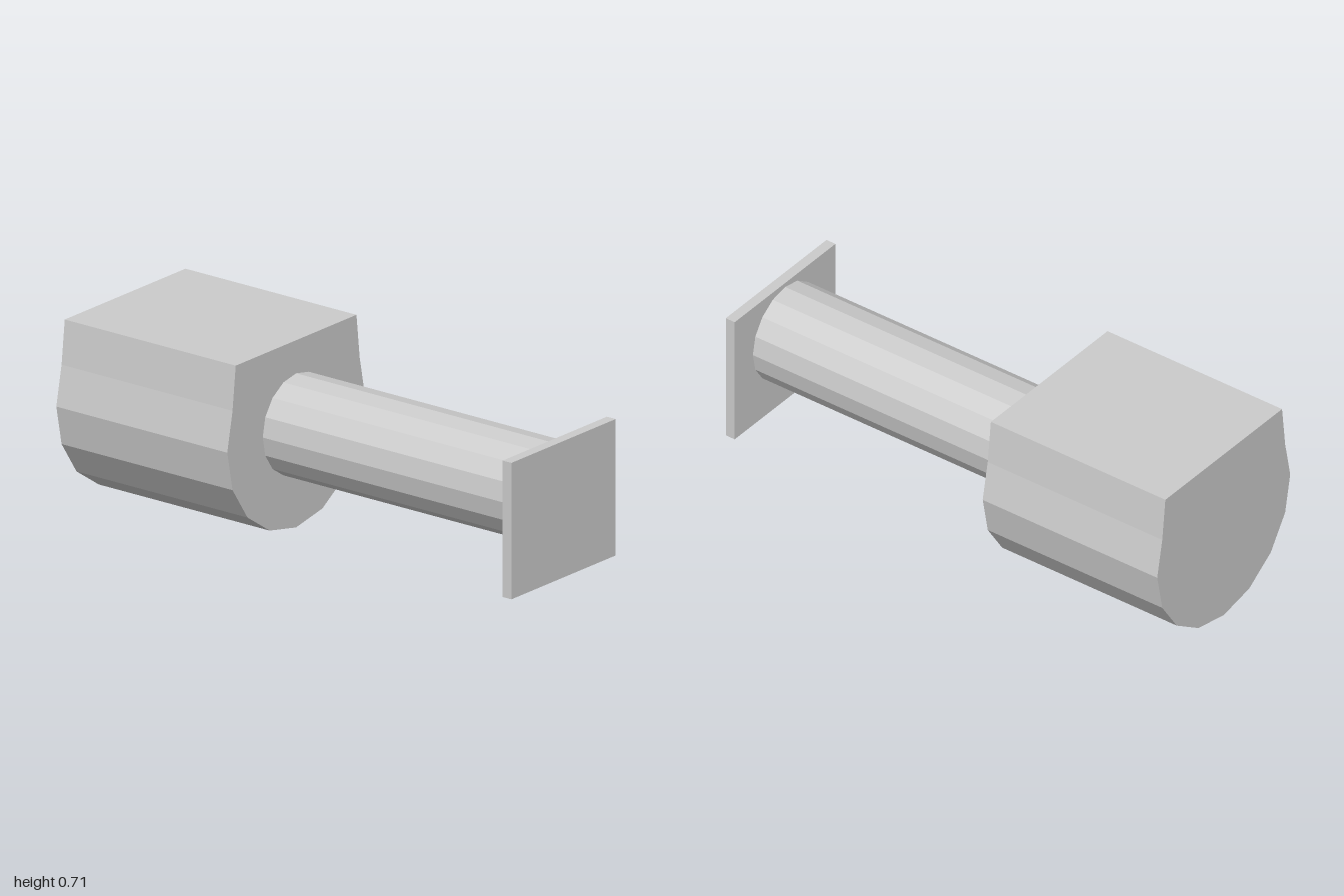
import * as THREE from 'three';

export function createModel() {
  const group = new THREE.Group();
  const material = new THREE.MeshStandardMaterial({ color: 0xcccccc, flatShading: true });
  const axisY = 0.392, bodyRadius = 0.392, sides = 16;

  const add = (name, geometry, x, y) => {
    const mesh = new THREE.Mesh(geometry, material);
    mesh.name = name;
    mesh.position.set(x, y, 0);
    group.add(mesh);
  };

  // Body: faceted round underside rising to a flat top, extruded along x
  const outline = [new THREE.Vector2(-0.344, 0.708 - axisY)];
  for (let i = -1; i <= 9; i++) {
    const a = Math.PI + (i * 2 * Math.PI) / sides;
    outline.push(new THREE.Vector2(Math.cos(a) * bodyRadius, Math.sin(a) * bodyRadius));
  }
  outline.push(new THREE.Vector2(0.344, 0.708 - axisY));
  const body = new THREE.ExtrudeGeometry(new THREE.Shape(outline), { depth: 0.78, bevelEnabled: false });
  body.rotateY(Math.PI / 2);
  add('body', body, -1, axisY);

  // Shaft: sixteen-sided rod from the body to the end plate
  const shaft = new THREE.CylinderGeometry(0.19, 0.19, 1.18, sides);
  shaft.rotateZ(-Math.PI / 2);
  add('shaft', shaft, 0.37, axisY + 0.001);

  // Thin rectangular plate closing the far end
  add('endPlate', new THREE.BoxGeometry(0.04, 0.516, 0.594), 0.98, 0.342);

  return group;
}
